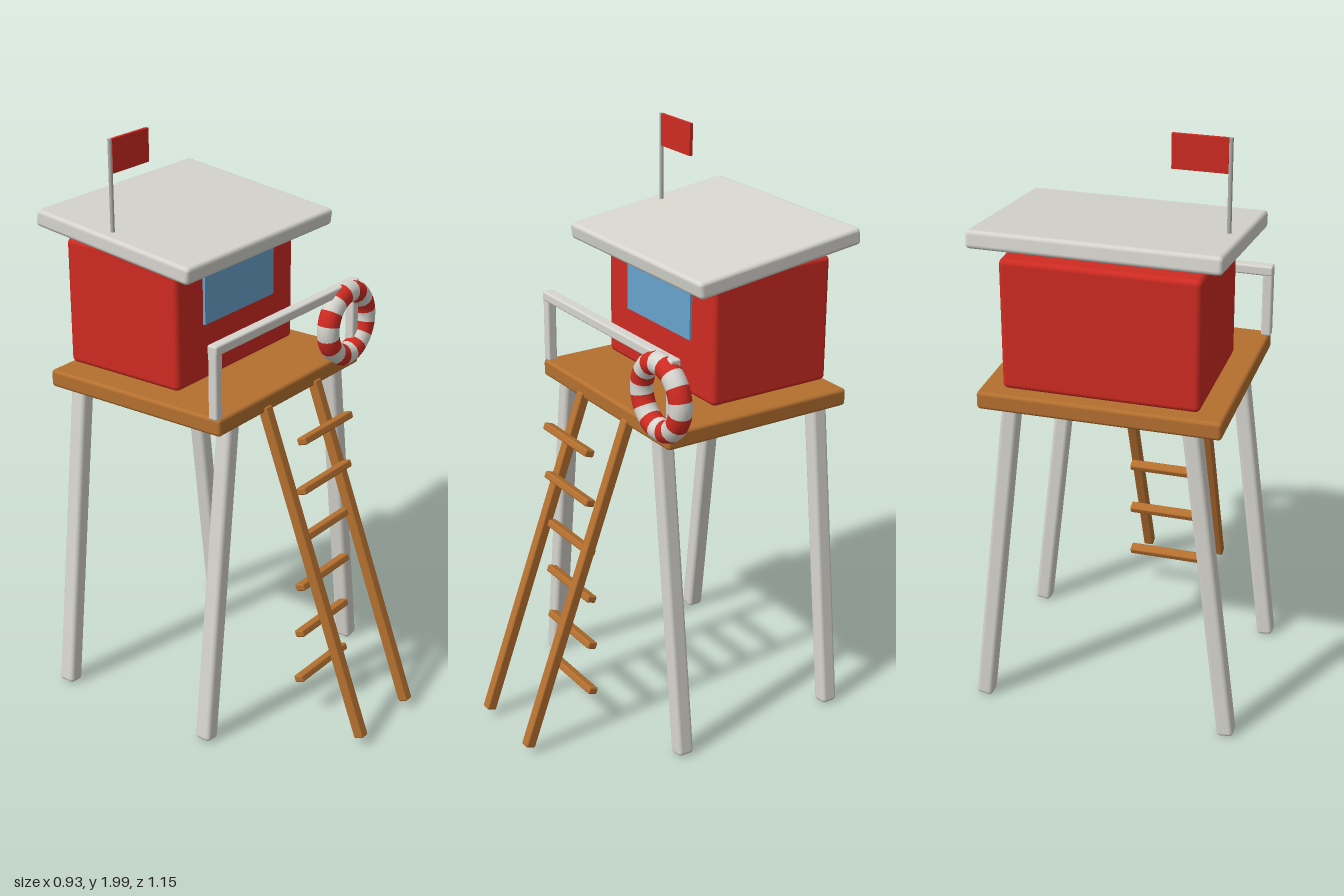
import * as THREE from 'three';
import { RoundedBoxGeometry } from 'three/addons/geometries/RoundedBoxGeometry.js';

function mat(name, color) {
  const m = new THREE.MeshStandardMaterial({ color });
  m.name = name;
  return m;
}

export function createModel() {
  const white = mat('offWhitePaint', 0xd6d5ce);
  const wood = mat('wood', 0xb5702f);
  const red = mat('redPaint', 0xcf2b22);
  const glass = mat('windowBlue', 0x68a3cc);
  const metal = mat('poleGrey', 0xb0b0ae);

  const model = new THREE.Group();
  model.name = 'lifeguardTower';

  function add(name, geometry, material, x, y, z, parent = model) {
    const mesh = new THREE.Mesh(geometry, material);
    mesh.name = name;
    mesh.position.set(x, y, z);
    parent.add(mesh);
    return mesh;
  }
  // Box with softened edges
  const block = (w, h, d, r) => new RoundedBoxGeometry(w, h, d, 2, r);
  const cx = -0.015; // centre line of the tower

  // Deck
  add('deck', block(0.79, 0.06, 0.71, 0.012), wood, cx, 1.155, -0.185);

  // Four legs, splayed sideways
  const splay = Math.atan(0.132 / 1.115);
  for (const side of [-1, 1]) {
    for (const z of [0.125, -0.49]) {
      const leg = add('leg', block(0.056, 1.14, 0.06, 0.014), white, cx + side * 0.358, 0.574, z);
      leg.rotation.z = side * splay;
    }
  }

  // Ladder: leaning rails and tilted rungs
  const ladder = new THREE.Group();
  ladder.name = 'ladder';
  model.add(ladder);
  const lean = -Math.atan(0.4 / 1.095);
  for (const side of [-1, 1]) {
    const rail = add('ladderRail', block(0.036, 1.18, 0.036, 0.006), wood, cx + side * 0.14, 0.588, 0.362, ladder);
    rail.rotation.x = lean;
  }
  for (let i = 0; i < 6; i++) {
    const rung = add('rung', block(0.275, 0.025, 0.036, 0.006), wood, cx, 0.159 + i * 0.179, 0.303, ladder);
    rung.rotation.x = lean;
  }

  // Cabin with front window
  add('cabin', block(0.635, 0.435, 0.46, 0.018), red, -0.0175, 1.413, -0.285);
  add('window', new THREE.BoxGeometry(0.375, 0.175, 0.009), glass, -0.0125, 1.478, -0.0505);

  // Sloping roof, higher at the back
  const roof = add('roof', block(0.79, 0.058, 0.63, 0.014), white, cx, 1.668, -0.26);
  roof.rotation.x = 0.126;

  // Front railing
  const railing = new THREE.Group();
  railing.name = 'railing';
  model.add(railing);
  add('handrail', block(0.8, 0.034, 0.038, 0.007), white, cx, 1.414, 0.146, railing);
  for (const side of [-1, 1]) {
    add('railPost', block(0.034, 0.245, 0.034, 0.007), white, cx + side * 0.383, 1.303, 0.146, railing);
  }

  // Life ring made of alternating coloured arcs
  const ring = new THREE.Group();
  ring.name = 'lifeRing';
  ring.position.set(0.318, 1.287, 0.158);
  model.add(ring);
  const step = Math.PI / 8;
  for (let i = 0; i < 16; i++) {
    const arc = add('ringBand', new THREE.TorusGeometry(0.111, 0.038, 14, 4, step),
      i % 2 ? red : white, 0, 0, 0, ring);
    arc.rotation.z = (i - 0.5) * step;
  }

  // Flag on its pole
  add('flagPole', new THREE.CylinderGeometry(0.007, 0.007, 0.32, 12), metal, -0.361, 1.84, -0.287);
  add('flag', new THREE.BoxGeometry(0.175, 0.11, 0.012), red, -0.268, 1.944, -0.287);

  return model;
}
